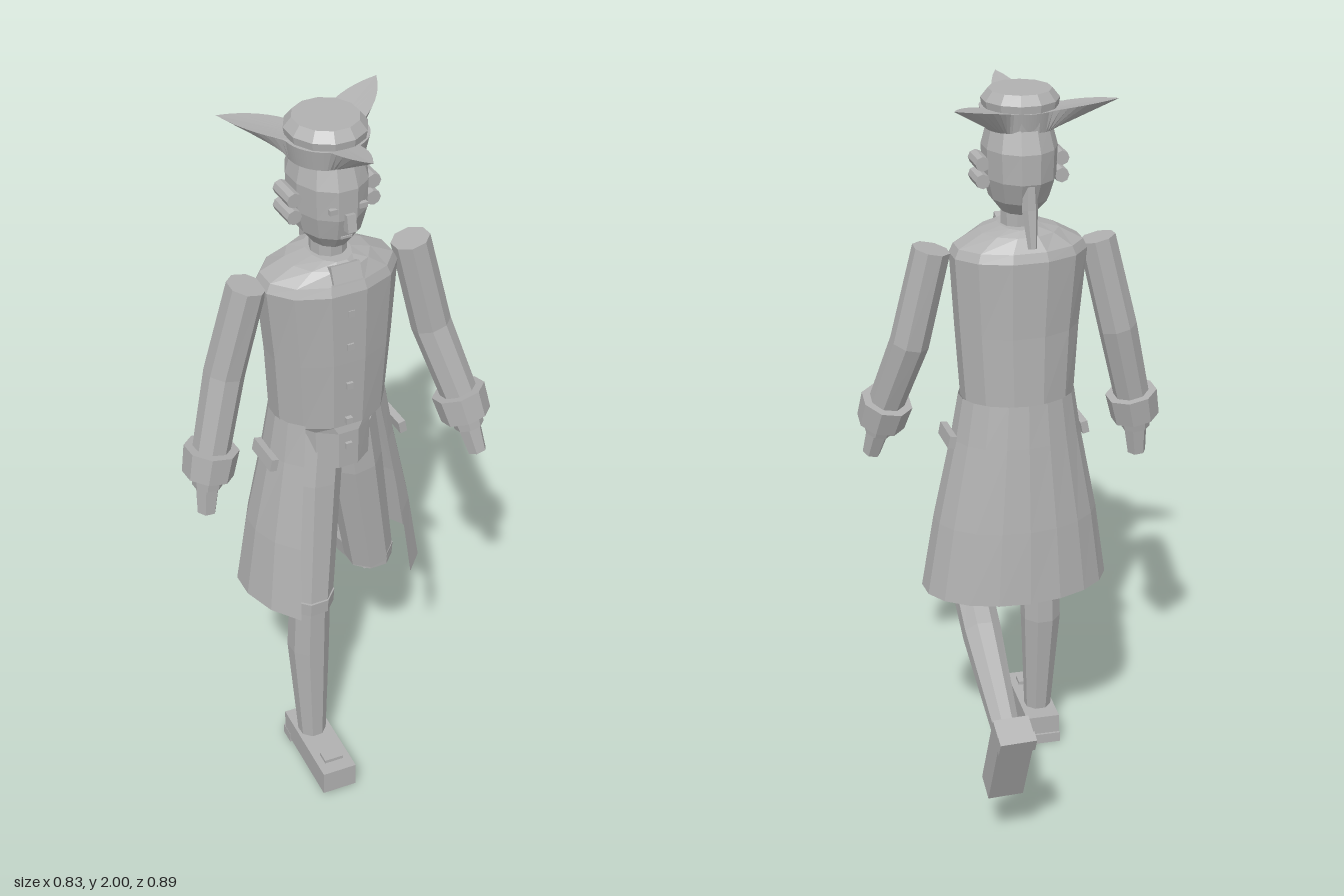
import * as THREE from 'three';

const cloth = new THREE.MeshStandardMaterial({ color: 0xb0b0b0, flatShading: true, side: THREE.DoubleSide });
cloth.name = 'plain grey';
const V = (x, y, z) => new THREE.Vector3(x, y, z);
const rad = THREE.MathUtils.degToRad;

// Skin a surface over rings listed from bottom to top
function loft(rings, closed = true, caps = true) {
  const n = rings[0].length, pos = [], idx = [];
  rings.forEach(r => r.forEach(p => pos.push(p.x, p.y, p.z)));
  for (let i = 0; i < rings.length - 1; i++)
    for (let j = 0; j < (closed ? n : n - 1); j++) {
      const k = (j + 1) % n, a = i * n + j, b = i * n + k;
      idx.push(a, b, b + n, a, b + n, a + n);
    }
  if (closed && caps) {
    const t = (rings.length - 1) * n;
    for (let j = 1; j < n - 1; j++) idx.push(0, j + 1, j, t, t + j, t + j + 1);
  }
  const g = new THREE.BufferGeometry();
  g.setAttribute('position', new THREE.Float32BufferAttribute(pos, 3));
  g.setIndex(idx);
  g.computeVertexNormals();
  return g;
}

// Level elliptical ring; angle zero faces the front
function oval(cx, y, cz, rx, rz, n = 12) {
  return Array.from({ length: n }, (_, j) => {
    const a = ((j + 0.5) / n) * Math.PI * 2;
    return V(cx + rx * Math.sin(a), y, cz + rz * Math.cos(a));
  });
}

// Faceted limb through rows of [x, y, z, radius]
function limb(rows, n = 8) {
  const p = rows.map(r => V(r[0], r[1], r[2]));
  return loft(rows.map((r, i) => {
    const t = p[Math.min(i + 1, p.length - 1)].clone().sub(p[Math.max(i - 1, 0)]).normalize();
    // rows run downwards, so turn about the reversed y axis
    const q = new THREE.Quaternion().setFromUnitVectors(V(0, -1, 0), t);
    return Array.from({ length: n }, (_, j) => {
      const a = -((j + 0.5) / n) * Math.PI * 2;
      return V(r[3] * Math.sin(a), 0, r[3] * Math.cos(a)).applyQuaternion(q).add(p[i]);
    });
  }));
}

export function createModel() {
  const model = new THREE.Group();
  model.name = 'walkingFigure';
  const add = (name, geo, parent = model) => {
    const m = new THREE.Mesh(geo, cloth);
    m.name = name;
    parent.add(m);
    return m;
  };
  const box = (name, w, h, d, x, y, z, parent) => {
    const m = add(name, new THREE.BoxGeometry(w, h, d), parent);
    m.position.set(x, y, z);
    return m;
  };

  // Coat body with the waistcoat front below the waist
  add('coatBody', loft([
    oval(-0.01, 1.02, 0.15, 0.108, 0.13), oval(-0.01, 1.13, 0.15, 0.112, 0.13),
    oval(-0.01, 1.15, 0.148, 0.158, 0.128), oval(-0.012, 1.35, 0.155, 0.172, 0.128),
    oval(-0.018, 1.56, 0.158, 0.19, 0.13), oval(-0.018, 1.585, 0.158, 0.178, 0.12),
    oval(-0.02, 1.62, 0.165, 0.11, 0.1), oval(-0.02, 1.635, 0.167, 0.055, 0.08)]));

  // Flared coat skirt, open at the front
  const skirtRows = [
    [0.59, 0.005, 0.13, 0.265, 0.175, 0.28, 0.21],
    [0.8, 0, 0.135, 0.232, 0.16, 0.22, 0.19],
    [1.04, -0.005, 0.143, 0.182, 0.14, 0.155, 0.15],
    [1.16, -0.008, 0.148, 0.162, 0.13, 0.13, 0.13]];
  add('coatSkirt', loft(skirtRows.map(([y, cx, cz, rx, back, frontR, frontL]) =>
    Array.from({ length: 15 }, (_, j) => {
      const a = rad(43 + j / 14 * 274), s = Math.sin(a), c = Math.cos(a);
      return V(cx + rx * s, y, cz + c * (c < 0 ? back : s < 0 ? frontR : frontL));
    })), false));

  // Buttons, neckcloth and pocket flaps
  for (const y of [1.5, 1.4, 1.28, 1.17, 1.09]) box('button', 0.018, 0.018, 0.012, -0.012, y, 0.279, model);
  box('neckcloth', 0.08, 0.045, 0.03, -0.02, 1.61, 0.258).rotation.x = -0.4;
  for (const s of [-1, 1]) {
    const f = box('pocketFlap', 0.02, 0.035, 0.11, s * 0.19 - 0.005, 1.04, 0.16);
    f.rotation.z = s * 0.2;
  }

  // Neck and head
  add('neck', loft([oval(-0.02, 1.61, 0.167, 0.048, 0.05, 10), oval(-0.02, 1.7, 0.167, 0.048, 0.05, 10)]));
  add('head', loft([
    oval(-0.022, 1.672, 0.17, 0.05, 0.065), oval(-0.022, 1.71, 0.165, 0.08, 0.1),
    oval(-0.022, 1.77, 0.16, 0.096, 0.122), oval(-0.022, 1.85, 0.16, 0.1, 0.122),
    oval(-0.022, 1.91, 0.16, 0.085, 0.1)]));
  for (const s of [-1, 1]) box('eye', 0.022, 0.014, 0.012, -0.02 + s * 0.04, 1.8, 0.273);
  box('nose', 0.024, 0.045, 0.024, -0.02, 1.765, 0.283).rotation.x = -0.2;
  box('mouth', 0.03, 0.006, 0.008, -0.02, 1.715, 0.263);

  // Side hair rolls and tied tail
  for (const s of [-1, 1]) for (const y of [1.765, 1.812]) {
    const roll = add('hairRoll', new THREE.CylinderGeometry(0.02, 0.02, 0.08, 8));
    roll.rotation.x = Math.PI / 2;
    roll.position.set(-0.022 + s * 0.108, y, 0.165);
  }
  add('hairTail', limb([[-0.022, 1.77, 0.06, 0.018], [-0.022, 1.7, 0.058, 0.022], [-0.022, 1.6, 0.035, 0.012]], 6));

  // Hat crown and three-pointed brim
  add('hatCrown', loft([
    oval(-0.025, 1.9, 0.16, 0.09, 0.1), oval(-0.025, 1.975, 0.16, 0.104, 0.108),
    oval(-0.025, 2, 0.16, 0.084, 0.088)]));
  const points = [[0, 0.135, 22], [124, 0.15, 30], [-120, 0.155, 30]];
  const brim = [[], [], []];
  for (let j = 0; j < 90; j++) {
    const deg = j * 4;
    let reach = 0, lift = 0;
    for (const [at, len, half] of points) {
      const d = Math.abs(((deg - at + 540) % 360) - 180), k = Math.max(0, 1 - d / half);
      reach += len * k ** 1.2;
      lift += k;
    }
    const s = Math.sin(rad(deg)), c = Math.cos(rad(deg));
    [[0.096, 1.9], [0.108 + reach, 1.955 + 0.033 * lift], [0.098, 1.955]].forEach(([r, y], i) =>
      brim[i].push(V(-0.025 + r * s, y, 0.16 + r * c)));
  }
  add('hatBrim', loft(brim, true, false));

  // Arms: sleeve, cuff, wrist and hand
  const arms = {
    right: [[-0.238, 1.575, 0.155], [-0.295, 1.32, 0.135], [-0.345, 1.11, 0.155], [-0.36, 1.035, 0.16], [-0.37, 0.92, 0.168]],
    left: [[0.222, 1.585, 0.155], [0.283, 1.32, 0.172], [0.335, 1.13, 0.24], [0.35, 1.06, 0.262], [0.372, 0.955, 0.295]]
  };
  for (const [side, [sh, el, cu, wr, ha]] of Object.entries(arms)) {
    const arm = new THREE.Group();
    arm.name = side + 'Arm';
    model.add(arm);
    add('sleeve', limb([[...sh, 0.052], [...el, 0.054], [...cu, 0.05]]), arm);
    add('cuff', limb([[...cu, 0.073], [...wr, 0.068]]), arm);
    add('wristFrill', limb([[...wr, 0.044], [...wr.map((v, i) => v + (ha[i] - v) * 0.3), 0.04]]), arm);
    add('hand', limb([[...wr, 0.036], [...ha, 0.026]], 6), arm);
  }

  // Legs: breeches, knee band and stocking
  const legs = {
    right: [[-0.05, 1.1, 0.17, 0.075], [-0.07, 0.95, 0.19, 0.075], [-0.102, 0.57, 0.235, 0.064],
      [-0.104, 0.4, 0.232, 0.058], [-0.1, 0.08, 0.25, 0.039]],
    left: [[0.045, 1.1, 0.16, 0.075], [0.065, 0.95, 0.16, 0.078], [0.13, 0.58, 0.14, 0.068],
      [0.145, 0.515, -0.04, 0.055], [0.155, 0.355, -0.335, 0.037]]
  };
  for (const [side, [hip, thigh, knee, calf, ankle]] of Object.entries(legs)) {
    const leg = new THREE.Group();
    leg.name = side + 'Leg';
    model.add(leg);
    add('breeches', limb([hip, thigh, knee]), leg);
    add('kneeBand', limb([[knee[0], knee[1] + 0.025, knee[2], 0.068], [knee[0], knee[1] - 0.015, knee[2], 0.066]]), leg);
    add('stocking', limb([knee.map((v, i) => i === 3 ? 0.056 : v), calf, ankle]), leg);
  }

  // Buckled shoes with heels
  for (const [side, x, y, z, pitch, yaw] of [
    ['right', -0.1, 0.05, 0.3, 0, -0.05], ['left', 0.157, 0.3, -0.345, rad(64.5), 0]]) {
    const shoe = new THREE.Group();
    shoe.name = side + 'Shoe';
    shoe.position.set(x, y, z);
    shoe.rotation.set(pitch, yaw, 0);
    model.add(shoe);
    box('shoeBody', 0.098, 0.072, 0.275, 0, 0, 0, shoe);
    box('heel', 0.1, 0.03, 0.045, 0, -0.035, -0.122, shoe);
    box('buckle', 0.055, 0.014, 0.037, 0, 0.039, 0.08, shoe);
  }
  return model;
}
